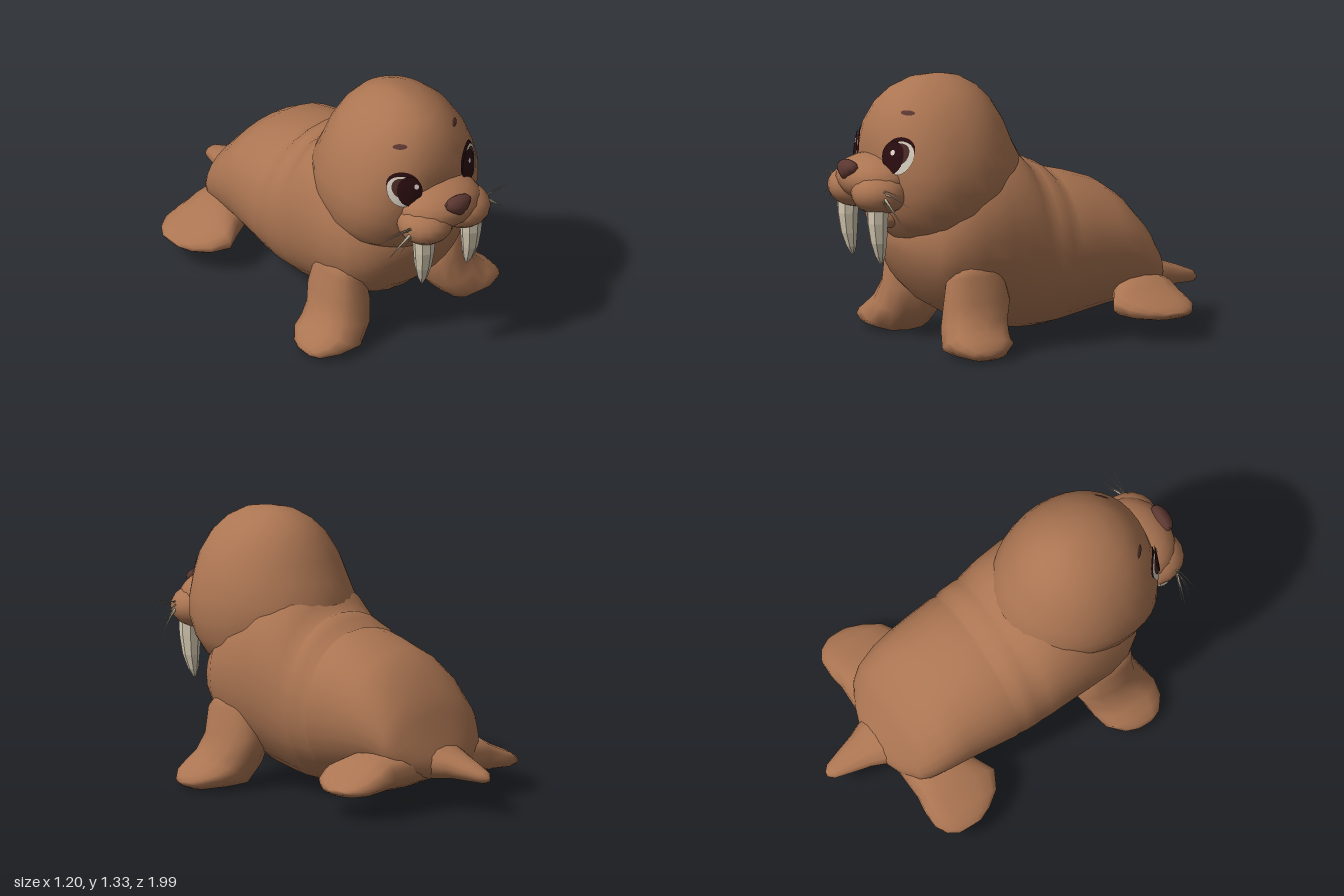
import * as THREE from 'three';

const V = (x, y, z) => new THREE.Vector3(x, y, z);
const mat = (name, color) => {
  const m = new THREE.MeshStandardMaterial({ color });
  m.name = name;
  return m;
};

// Superellipse ring around c, spanned by the half axes u and v
function ring(c, u, v, n = 24, e = 2) {
  const p = (t) => Math.sign(t) * Math.abs(t) ** (2 / e);
  return Array.from({ length: n }, (_, i) => {
    const a = (i / n) * Math.PI * 2;
    return c.clone().addScaledVector(u, p(Math.cos(a))).addScaledVector(v, p(Math.sin(a)));
  });
}

// Skin over rings, closed at both ends and wound outwards
function loft(rings) {
  const n = rings[0].length, pts = rings.flat(), idx = [];
  for (let r = 0; r < rings.length - 1; r++)
    for (let i = 0; i < n; i++) {
      const a = r * n + i, b = r * n + ((i + 1) % n);
      idx.push(a, b, b + n, a, b + n, a + n);
    }
  [0, rings.length - 1].forEach((r) => {
    const c = pts.length;
    pts.push(rings[r].reduce((s, p) => s.add(p), V(0, 0, 0)).divideScalar(n));
    for (let i = 0; i < n; i++) {
      const a = r * n + i, b = r * n + ((i + 1) % n);
      idx.push(...(r ? [c, a, b] : [c, b, a]));
    }
  });
  let vol = 0;
  for (let i = 0; i < idx.length; i += 3)
    vol += pts[idx[i]].dot(pts[idx[i + 1]].clone().cross(pts[idx[i + 2]]));
  if (vol < 0) idx.reverse();
  const g = new THREE.BufferGeometry().setFromPoints(pts);
  g.setIndex(idx);
  g.computeVertexNormals();
  return g;
}

// Sections along z: [z, bottom y, top y, half width]
const alongZ = (rows, n, e) => loft(rows.map(([z, b, t, w]) =>
  ring(V(0, (b + t) / 2, z), V(w, 0, 0), V(0, (t - b) / 2, 0), n, e)));

// Flipper sections: [lower x, lower y, upper x, upper y, z, half depth]
const flipper = (rows, s) => loft(rows.map(([x1, y1, x2, y2, z, h]) =>
  ring(V(s * (x1 + x2) / 2, (y1 + y2) / 2, z), V(s * (x2 - x1) / 2, (y2 - y1) / 2, 0), V(0, 0, h), 14, 2.3)));

const BODY = [
  [-0.74, 0.17, 0.26, 0.1], [-0.7, 0.145, 0.33, 0.21], [-0.65, 0.13, 0.45, 0.3], [-0.6, 0.125, 0.545, 0.335],
  [-0.5, 0.115, 0.665, 0.36], [-0.4, 0.1, 0.735, 0.372], [-0.25, 0.07, 0.785, 0.387], [-0.15, 0.05, 0.81, 0.396],
  [-0.13, 0.045, 0.805, 0.39], [-0.09, 0.04, 0.845, 0.4], [-0.03, 0.035, 0.872, 0.402], [0, 0.035, 0.868, 0.398],
  [0.05, 0.035, 0.92, 0.405], [0.12, 0.045, 0.99, 0.41], [0.25, 0.075, 1.04, 0.415], [0.4, 0.13, 0.98, 0.41],
  [0.52, 0.2, 0.87, 0.375], [0.6, 0.28, 0.76, 0.315], [0.66, 0.4, 0.66, 0.2], [0.685, 0.48, 0.57, 0.07],
];
// Head sections: [y, back z, front z, half width, squareness of the face]
const HEAD = [
  [0.5, 0.3, 0.65, 0.14, 2], [0.56, 0.2, 0.7, 0.26, 2.1], [0.62, 0.12, 0.75, 0.33, 2.2], [0.7, 0.06, 0.79, 0.37, 2.4],
  [0.8, 0.03, 0.81, 0.39, 2.6], [0.9, 0.03, 0.82, 0.388, 2.5], [1, 0.085, 0.825, 0.365, 2.3], [1.1, 0.125, 0.812, 0.328, 2.2],
  [1.2, 0.185, 0.765, 0.267, 2.1], [1.27, 0.25, 0.7, 0.19, 2], [1.315, 0.33, 0.61, 0.11, 2], [1.332, 0.41, 0.52, 0.03, 2],
];
const HEAD_MID = 0.46;
const FRONT_FLIPPER = [
  [0.27, 0.41, 0.37, 0.44, 0.42, 0.1], [0.21, 0.34, 0.405, 0.39, 0.41, 0.15], [0.18, 0.22, 0.43, 0.26, 0.4, 0.172],
  [0.2, 0.1, 0.465, 0.18, 0.43, 0.17], [0.29, 0, 0.505, 0.135, 0.455, 0.178], [0.42, 0, 0.55, 0.1, 0.46, 0.16],
  [0.54, 0, 0.58, 0.065, 0.47, 0.1], [0.575, 0.015, 0.59, 0.04, 0.475, 0.045],
];
const REAR_FLIPPER = [
  [0.06, 0.13, 0.06, 0.3, -0.6, 0.12], [0.2, 0.105, 0.2, 0.3, -0.56, 0.14], [0.33, 0.1, 0.35, 0.285, -0.52, 0.175],
  [0.42, 0.1, 0.43, 0.24, -0.5, 0.205], [0.5, 0.1, 0.52, 0.2, -0.52, 0.18], [0.56, 0.105, 0.57, 0.17, -0.54, 0.125],
  [0.59, 0.12, 0.6, 0.145, -0.55, 0.065],
];

// Head ring: a round back half and a squarer face half
function headRing([y, b, t, w, e]) {
  const back = ring(V(0, y, HEAD_MID), V(w, 0, 0), V(0, 0, HEAD_MID - b), 36);
  const face = ring(V(0, y, HEAD_MID), V(w, 0, 0), V(0, 0, t - HEAD_MID), 36, e);
  return back.map((p, i) => (i < 18 ? face[i] : p));
}

// Front surface of the head at x, y
function headZ(x, y) {
  let i = 0;
  while (i < HEAD.length - 2 && HEAD[i + 1][0] < y) i++;
  const f = (y - HEAD[i][0]) / (HEAD[i + 1][0] - HEAD[i][0]);
  const [, , t, w, e] = HEAD[i].map((v, k) => v + (HEAD[i + 1][k] - v) * f);
  const q = Math.max(0, 1 - Math.abs(x / w) ** e);
  return HEAD_MID + (t - HEAD_MID) * q ** (1 / e);
}

// Thin oval lying on the front of the head
function facePatch(cx, cy, rx, ry, lift, tilt = 0) {
  const g = new THREE.RingGeometry(0.001, 1, 24, 4), p = g.attributes.position;
  g.scale(rx, ry, 1).rotateZ(tilt);
  for (let i = 0; i < p.count; i++) {
    const x = p.getX(i) + cx, y = p.getY(i) + cy;
    p.setXYZ(i, x, y, headZ(x, y) + lift);
  }
  g.computeVertexNormals();
  return g;
}

const ellipsoid = (c, r, ws = 18, hs = 12) =>
  new THREE.SphereGeometry(1, ws, hs).scale(...r).translate(...c);

export function createModel() {
  const model = new THREE.Group();
  model.name = 'walrusPup';
  const fur = mat('brown skin', 0xab7552), noseM = mat('nose brown', 0x5c3731);
  const white = mat('eye white', 0xd6cebf), dark = mat('eye dark', 0x2b0d10);
  const iris = mat('iris brown', 0x4a2a24), shine = mat('eye shine', 0xf3e6dc);
  const ivory = mat('ivory', 0xd6cab3), hair = mat('whisker beige', 0xc2b8a2);
  ivory.flatShading = true;
  const add = (name, geo, m) => {
    const mesh = new THREE.Mesh(geo, m);
    mesh.name = name;
    model.add(mesh);
  };

  // Body, head and tail
  add('body', alongZ(BODY, 28, 2.1), fur);
  add('head', loft(HEAD.map(headRing)), fur);
  add('tail', alongZ([
    [-0.58, 0.12, 0.36, 0.18], [-0.68, 0.135, 0.315, 0.15], [-0.8, 0.15, 0.275, 0.095],
    [-0.9, 0.15, 0.24, 0.065], [-0.975, 0.15, 0.21, 0.04], [-1, 0.16, 0.185, 0.012],
  ], 12, 2.2), fur);

  // Muzzle, chin and nose
  add('muzzleBridge', ellipsoid([0, 0.855, 0.8], [0.222, 0.12, 0.18]), fur);
  add('chin', ellipsoid([0, 0.665, 0.745], [0.12, 0.07, 0.085]), fur);
  const nose = ellipsoid([0, 0, 0], [0.085, 0.052, 0.045], 14, 8), np = nose.attributes.position;
  for (let i = 0; i < np.count; i++)
    np.setX(i, np.getX(i) * (0.8 + Math.min(0.25, np.getY(i) * 9)));
  nose.translate(0, 0.905, 0.95);
  nose.computeVertexNormals();
  add('nose', nose, noseM);

  for (const s of [1, -1]) {
    const side = s > 0 ? 'left' : 'right';
    add(side + 'FrontFlipper', flipper(FRONT_FLIPPER, s), fur);
    add(side + 'RearFlipper', flipper(REAR_FLIPPER, s), fur);
    add(side + 'Cheek', ellipsoid([s * 0.116, 0.8, 0.835], [0.138, 0.105, 0.145]), fur);

    // Eye layers and brow
    add(side + 'EyeRim', facePatch(s * 0.198, 1.0, 0.072, 0.086, 0.005, -s * 0.25), dark);
    add(side + 'EyeWhite', facePatch(s * 0.21, 0.983, 0.065, 0.083, 0.009, -s * 0.1), white);
    add(side + 'Iris', facePatch(s * 0.215, 1.005, 0.042, 0.052, 0.013), iris);
    add(side + 'Pupil', facePatch(s * 0.183, 0.985, 0.058, 0.08, 0.017), dark);
    add(side + 'EyeShine', facePatch(s * 0.172 + 0.017, 1.01, 0.011, 0.014, 0.021), shine);
    add(side + 'Brow', facePatch(s * 0.17, 1.195, 0.028, 0.011, 0.007, -s * 0.1), noseM);

    // Tusk, tapering down to a point
    add(side + 'Tusk', loft([
      [0.74, 0.147, 0.865, 0.056], [0.66, 0.147, 0.867, 0.053], [0.56, 0.147, 0.86, 0.042],
      [0.49, 0.143, 0.85, 0.026], [0.45, 0.14, 0.843, 0.008],
    ].map(([y, x, z, r]) => ring(V(s * x, y, z), V(r, 0, 0), V(0, 0, r), 8))), ivory);

    // Whiskers: [end x, end y, end z, start y, thickness]
    [[0.36, 0.68, 0.85, 0.81, 0.012], [0.33, 0.72, 0.9, 0.79, 0.005], [0.38, 0.77, 0.82, 0.82, 0.006],
      [0.37, 0.845, 0.9, 0.82, 0.004], [0.39, 0.82, 0.86, 0.83, 0.004]].forEach(([x, y, z, y0, r], k) => {
      const a = V(s * 0.22, y0, 0.88), b = V(s * x, y, z);
      const mid = a.clone().lerp(b, 0.5).add(V(0, 0.02, 0.01));
      const curve = new THREE.QuadraticBezierCurve3(a, mid, b);
      add(side + 'Whisker' + (k + 1), loft([0, 0.3, 0.6, 0.85, 1].map((t) => {
        const w = r * (1.05 - t);
        return ring(curve.getPoint(t), V(0, w, 0), V(0, 0, w * 0.7), 5);
      })), hair);
    });
  }
  return model;
}
